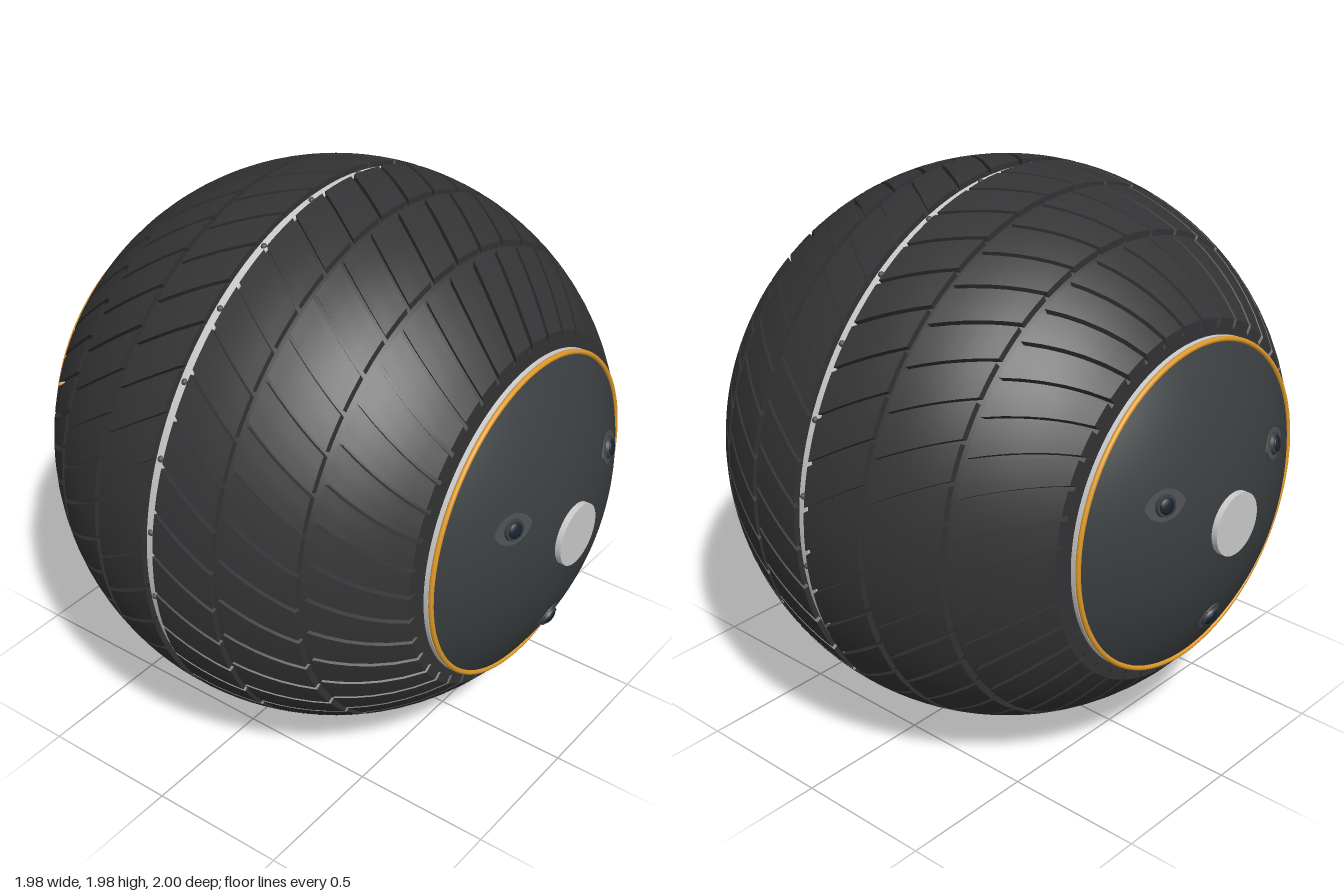
import * as THREE from 'three';
import { mergeGeometries } from 'three/addons/utils/BufferGeometryUtils.js';

const R = 0.99;          // outer radius of the ball
const BASE = 0.97;       // radius of the tyre below the tread
const PITCHES = 40;      // tread blocks around each band
const BANDS = [[0.022, 0.238], [0.262, 0.495], [0.52, 0.765]];

const paint = (color) => new THREE.MeshStandardMaterial({ color });
const rubber = paint(0x343436);
const shell = paint(0x3a3e40);
const steel = paint(0xcccccc);
const amber = paint(0xe09a28);
const socketGrey = paint(0x4c4f52);
const glass = paint(0x18222e);

function add(parent, name, geometry, material, x = 0, y = 0, z = 0) {
  const mesh = new THREE.Mesh(geometry, material);
  mesh.name = name;
  mesh.position.set(x, y, z);
  parent.add(mesh);
  return mesh;
}

// Cylinder whose axis runs along z
const disc = (r, depth, sides = 32, r2 = r) =>
  new THREE.CylinderGeometry(r2, r, depth, sides).rotateX(Math.PI / 2);

// Points of a circular arc in the (radius, z) plane
function arc(radius, z0, z1, steps) {
  const a0 = Math.asin(z0 / radius), a1 = Math.asin(z1 / radius);
  return Array.from({ length: steps + 1 }, (_, i) => {
    const a = a0 + (a1 - a0) * i / steps;
    return new THREE.Vector2(Math.max(0, Math.cos(a) * radius), Math.sin(a) * radius);
  });
}

// Slanted tread block: a box bent onto the sphere
function treadBlock(index, band, side) {
  const [zIn, zOut] = BANDS[band];
  const pitch = Math.PI * 2 / PITCHES;
  const geo = new THREE.BoxGeometry(1, 1, 1, 3, 1, 5);
  const p = geo.attributes.position;
  for (let i = 0; i < p.count; i++) {
    const t = p.getZ(i) * side + 0.5;
    const z = zIn + (zOut - zIn) * t;
    const radius = p.getY(i) > 0 ? R : BASE - 0.01;
    const r = Math.sqrt(radius * radius - z * z);
    const width = pitch - 0.016 / r;
    const a = (index + band * 0.5) * pitch + p.getX(i) * width - z * 0.68;
    p.setXYZ(i, r * Math.sin(a), r * Math.cos(a), z * side);
  }
  geo.computeVertexNormals();
  return geo;
}

function tyreHalf(side) {
  const half = new THREE.Group();
  half.name = side > 0 ? 'frontTyre' : 'backTyre';
  // Carcass with flat walls at the seam and at the hub
  const wallIn = new THREE.LatheGeometry(
    [new THREE.Vector2(0, 0.02), new THREE.Vector2(Math.sqrt(BASE ** 2 - 0.02 ** 2), 0.02)], 96);
  const crown = new THREE.LatheGeometry(arc(BASE, 0.02, 0.765, 20), 96);
  const wallOut = new THREE.LatheGeometry(
    [new THREE.Vector2(Math.sqrt(BASE ** 2 - 0.765 ** 2), 0.765), new THREE.Vector2(0, 0.765)], 96);
  const carcass = mergeGeometries([wallIn, crown, wallOut]).rotateX(side * Math.PI / 2);
  add(half, 'tyreCarcass', carcass, rubber);
  const blocks = [];
  for (let b = 0; b < BANDS.length; b++)
    for (let i = 0; i < PITCHES; i++) blocks.push(treadBlock(i, b, side));
  add(half, 'treadBlocks', mergeGeometries(blocks), rubber);
  return half;
}

// Sensor eye seated on the dome, facing along its normal
function sensorEye(x, y, wide) {
  const eye = new THREE.Group();
  eye.name = 'sensorEye';
  const normal = new THREE.Vector3(x, y, Math.sqrt(0.985 ** 2 - x * x - y * y)).normalize();
  eye.position.copy(normal).multiplyScalar(0.983);
  eye.quaternion.setFromUnitVectors(new THREE.Vector3(0, 0, 1), normal);

  // Almond-shaped (or round) socket with a raised lens
  const w = wide ? 0.078 : 0.047, h = 0.054;
  const outline = new THREE.Shape();
  if (wide) {
    outline.moveTo(-w, 0);
    outline.bezierCurveTo(-w * 0.6, h * 1.3, w * 0.6, h * 1.3, w, 0);
    outline.bezierCurveTo(w * 0.6, -h * 1.3, -w * 0.6, -h * 1.3, -w, 0);
  } else {
    outline.absellipse(0, 0, w, h, 0, Math.PI * 2);
  }
  add(eye, 'eyeSocket', new THREE.ExtrudeGeometry(outline, { depth: 0.012, bevelEnabled: false, curveSegments: 16 }),
    socketGrey, 0, 0, -0.008);
  add(eye, 'lensBarrel', disc(0.04, 0.016, 24, 0.036), shell, 0, 0, 0.006);
  add(eye, 'lens', new THREE.SphereGeometry(0.028, 20, 12).scale(1, 1, 0.4), glass, 0, 0, 0.013);
  return eye;
}

// Domed side cap with its plate, trim, hub and eyes
function sideCap(name) {
  const cap = new THREE.Group();
  cap.name = name;
  add(cap, 'axle', disc(0.15, 0.03), steel, 0, 0, 0.775);
  for (let i = 0; i < 6; i++) {
    const a = i * Math.PI / 3;
    add(cap, 'spacer', disc(0.045, 0.03, 16), steel, 0.45 * Math.cos(a), 0.45 * Math.sin(a), 0.775);
  }
  add(cap, 'capPlate', disc(0.577, 0.016, 96), steel, 0, 0, 0.793);
  add(cap, 'trimRing', new THREE.TorusGeometry(0.569, 0.009, 10, 96), amber, 0, 0, 0.808);
  add(cap, 'capDome',
    new THREE.LatheGeometry(arc(0.985, 0.801, 0.985, 16), 96).rotateX(Math.PI / 2), shell);
  add(cap, 'hub', disc(0.11, 0.06, 48), steel, 0, 0, 0.97);
  cap.add(sensorEye(0.295, 0.16, true), sensorEye(-0.295, 0.16, true), sensorEye(0, -0.38, false));
  return cap;
}

export function createModel() {
  const model = new THREE.Group();
  model.name = 'sphericalRover';
  const ball = new THREE.Group();
  ball.name = 'ball';
  ball.position.y = R;
  model.add(ball);

  ball.add(tyreHalf(1), tyreHalf(-1));

  // Bright seam ring with small bolts
  add(ball, 'seamRing', disc(0.973, 0.034, 120), steel);
  for (let i = 0; i < 24; i++) {
    const a = (i + 0.5) * Math.PI / 12;
    add(ball, 'seamBolt', new THREE.SphereGeometry(0.011, 10, 8), socketGrey,
      0.972 * Math.cos(a), 0.972 * Math.sin(a), 0);
  }

  const back = sideCap('backCap');
  back.rotation.y = Math.PI;
  ball.add(sideCap('frontCap'), back);
  return model;
}
